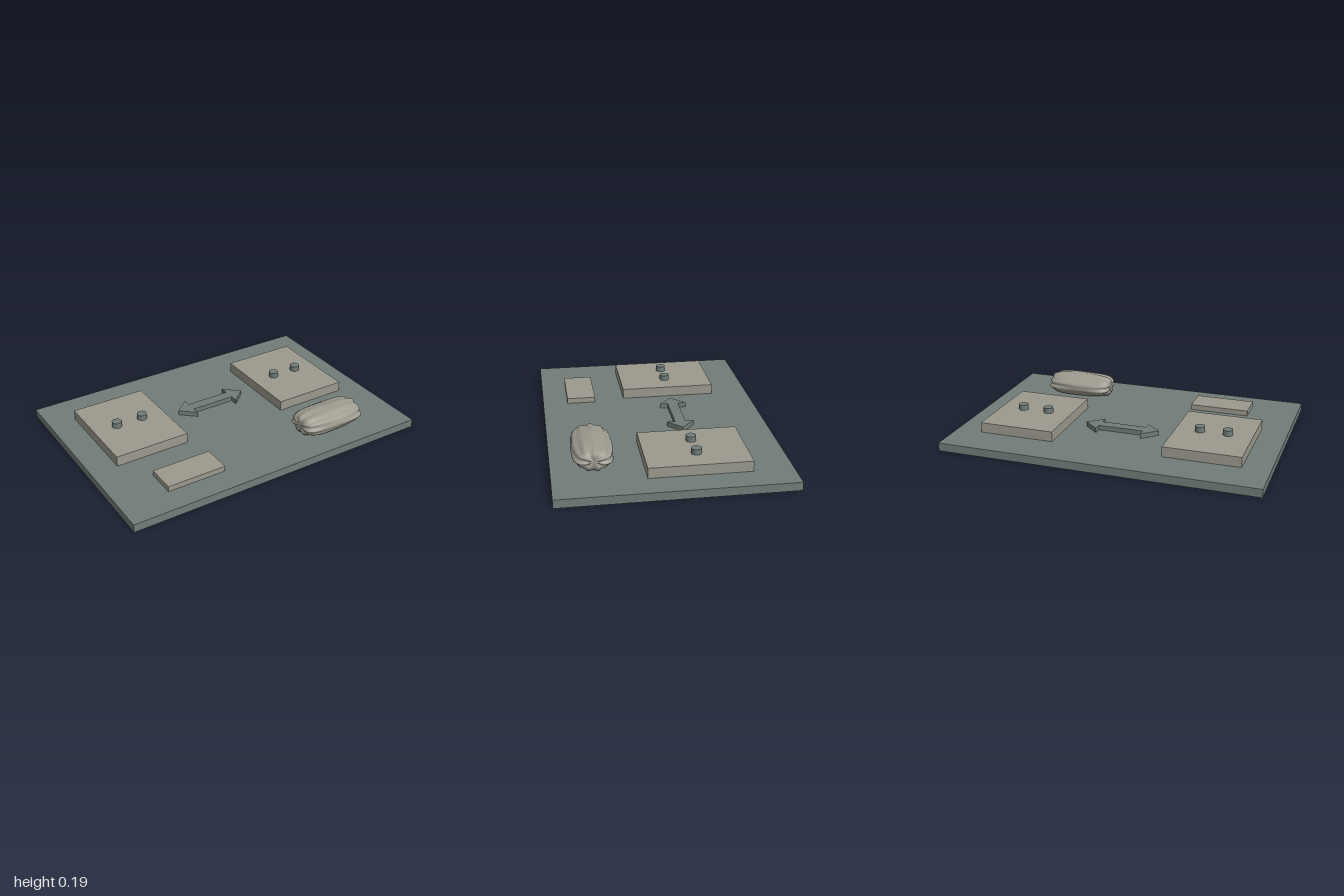
import * as THREE from 'three';

export function createModel() {
  const model = new THREE.Group();
  const slate = new THREE.MeshStandardMaterial({ name: 'slate grey', color: 0x717d79 });
  const stone = new THREE.MeshStandardMaterial({ name: 'warm stone', color: 0x9c9a8e });
  const TOP = 0.052;

  const add = (name, geometry, material, x, y, z) => {
    const mesh = new THREE.Mesh(geometry, material);
    mesh.name = name;
    mesh.position.set(x, y, z);
    model.add(mesh);
    return mesh;
  };
  // box standing on height y
  const slab = (name, w, h, d, material, x, y, z) =>
    add(name, new THREE.BoxGeometry(w, h, d), material, x, y + h / 2, z);

  slab('baseBoard', 2, TOP, 1.39, slate, 0, 0, 0);

  // two raised pads, each with a pair of pegs
  for (const [side, s] of [['left', 1], ['right', -1]]) {
    slab(side + 'Pad', 0.48, 0.064, 0.61, stone, s * 0.59, TOP, -0.15);
    for (const x of [0.503, 0.677]) {
      add(side + 'Peg', new THREE.CylinderGeometry(0.031, 0.031, 0.034, 24), slate, s * x, 0.133, -0.15);
    }
  }

  slab('smallPlate', 0.38, 0.034, 0.185, stone, -0.505, TOP, 0.442);

  // double-headed arrow
  const half = [[0.145, -0.034], [0.145, -0.085], [0.24, 0], [0.145, 0.085], [0.145, 0.034]];
  const outline = [...half, ...half.map(([x, y]) => [-x, -y])];
  const arrowShape = new THREE.Shape(outline.map(([x, y]) => new THREE.Vector2(x, y)));
  const arrow = add('doubleArrow',
    new THREE.ExtrudeGeometry(arrowShape, { depth: 0.03, bevelEnabled: false }), slate, 0, TOP, -0.15);
  arrow.rotation.x = -Math.PI / 2;

  // crumpled pouch: puffed sections along x, with pleats that deepen toward the ends
  const pouch = new THREE.SphereGeometry(1, 56, 32);
  pouch.rotateZ(-Math.PI / 2);
  const p = pouch.attributes.position;
  for (let i = 0; i < p.count; i++) {
    const u = p.getX(i);
    const angle = Math.atan2(p.getY(i), p.getZ(i));
    const end = Math.abs(u);
    const x = Math.sign(u) * (1 - Math.pow(1 - end, 1.6));
    const puff = Math.pow(Math.max(0, 1 - u * u), 0.3);
    const pleat = 1 + (0.015 + 0.06 * end) * Math.cos(11 * angle + 0.6)
      + 0.02 * Math.sin(5 * angle + 4 * u);
    const r = puff * pleat;
    const bulge = 1 + 0.05 * end * Math.cos(7 * angle + 1) * puff;
    p.setXYZ(i, 0.213 * x * bulge,
      Math.max(-0.062, 0.076 * r * Math.sin(angle)),
      0.122 * r * Math.cos(angle));
  }
  pouch.computeVertexNormals();
  // share normals across the seam and at the two tips
  const n = pouch.attributes.normal;
  const row = 57;
  for (let j = 0; j <= 32; j++) {
    const a = j * row, b = a + row - 1;
    if (j === 0 || j === 32) {
      for (let k = a; k <= b; k++) n.setXYZ(k, Math.sign(p.getX(k)), 0, 0);
    } else {
      const v = new THREE.Vector3().fromBufferAttribute(n, a)
        .add(new THREE.Vector3().fromBufferAttribute(n, b)).normalize();
      n.setXYZ(a, v.x, v.y, v.z);
      n.setXYZ(b, v.x, v.y, v.z);
    }
  }
  add('crumpledPouch', pouch, stone, 0.5, 0.114, 0.442);

  return model;
}
